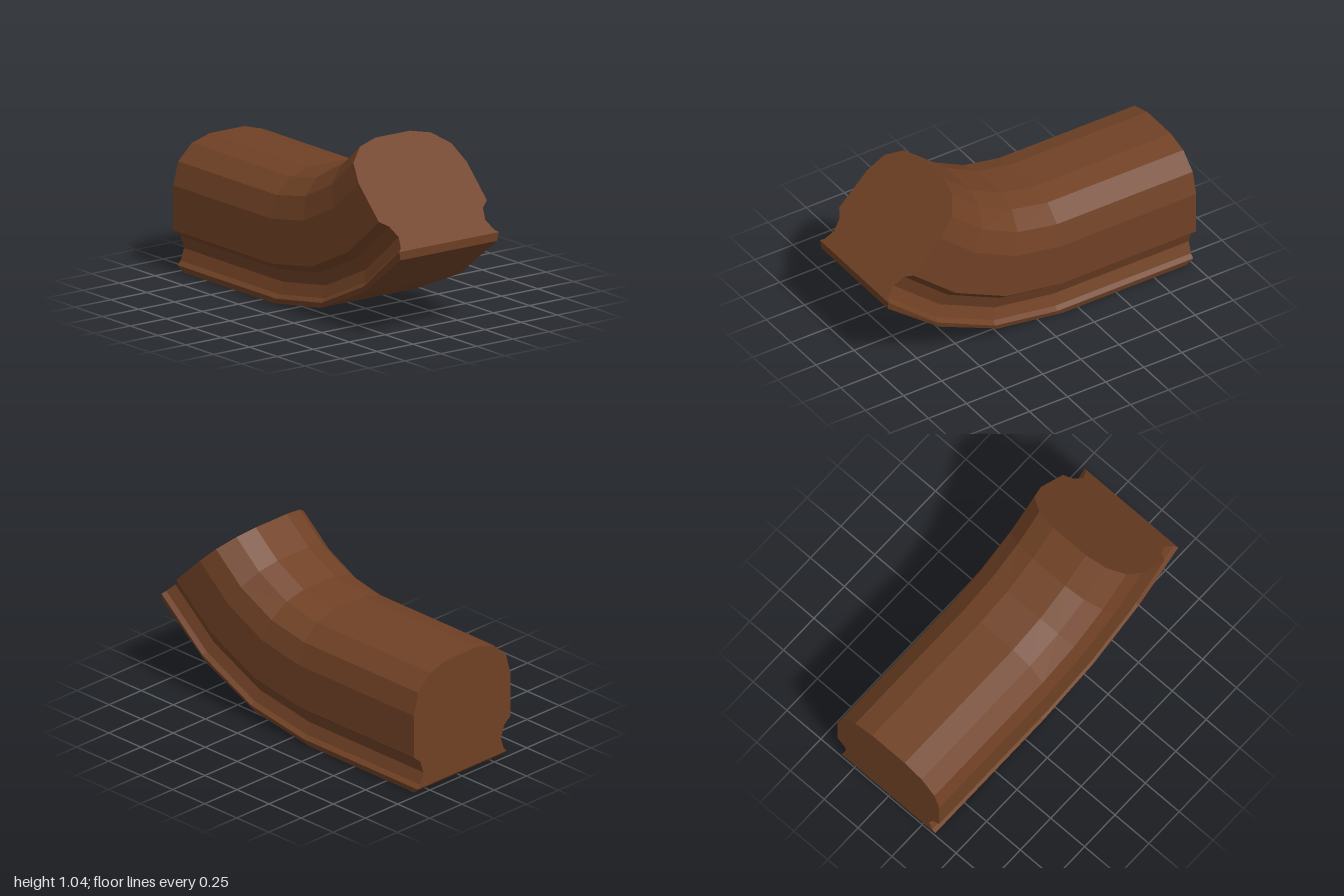
import * as THREE from 'three';

// Half cross-section from the lip up to the crown: [z, height above the base]
const half = [
  [0.345, 0.035], [0.323, 0.057], [0.3, 0.125], [0.325, 0.2], [0.375, 0.24],
  [0.375, 0.495], [0.34, 0.625], [0.245, 0.715], [0.12, 0.75],
];
const lipHeight = 0.035, fullHeight = 0.75, soleHalfWidth = 0.335;

// Stations along the bend: lip point, crown point and sole point, each [x, y]
const stations = [
  { lip: [-1, 0.035], crown: [-1, 0.75], sole: [-0.96, 0] },
  { lip: [-0.11, 0.035], crown: [-0.11, 0.75], sole: [-0.15, 0] },
  { lip: [0.3, 0.1], crown: [0.115, 0.795], sole: [0.27, 0.063] },
  { lip: [0.68, 0.275], crown: [0.32, 0.9], sole: [0.66, 0.232] },
  { lip: [1, 0.54], crown: [0.49, 1.045], sole: [0.996, 0.49] },
];

// One closed ring: sole and lip at +z, over the crown, down to the sole at -z
function ring({ lip, crown, sole }) {
  const side = half.map(([z, h]) => {
    const t = (h - lipHeight) / (fullHeight - lipHeight);
    return [lip[0] + (crown[0] - lip[0]) * t, lip[1] + (crown[1] - lip[1]) * t, z];
  });
  side.unshift([sole[0], sole[1], soleHalfWidth]);
  return [...side, ...side.map(([x, y, z]) => [x, y, -z]).reverse()];
}

function sweptBody() {
  const n = (half.length + 1) * 2;
  const last = (stations.length - 1) * n;
  const index = [];
  const quad = (a, b, c, d) => index.push(a, b, c, a, c, d);

  // Skin between neighbouring rings
  for (let s = 0; s < last; s += n) {
    for (let i = 0; i < n; i++) {
      const j = (i + 1) % n;
      quad(s + i, s + n + i, s + n + j, s + j);
    }
  }

  // Flat end caps above the sole
  const outline = [
    ...half.map(([z, h]) => new THREE.Vector2(z, h)),
    ...half.map(([z, h]) => new THREE.Vector2(-z, h)).reverse(),
  ];
  for (const [a, b, c] of THREE.ShapeUtils.triangulateShape(outline, [])) {
    index.push(a + 1, b + 1, c + 1);
    index.push(last + c + 1, last + b + 1, last + a + 1);
  }

  // Bevels from the end caps to the sole
  quad(n - 2, n - 1, 0, 1);
  quad(last + 1, last, last + n - 1, last + n - 2);

  const geometry = new THREE.BufferGeometry();
  geometry.setAttribute('position', new THREE.Float32BufferAttribute(stations.flatMap(ring).flat(), 3));
  geometry.setIndex(index);
  const flat = geometry.toNonIndexed();
  flat.computeVertexNormals();
  return flat;
}

export function createModel() {
  const group = new THREE.Group();
  group.name = 'curvedRail';
  const material = new THREE.MeshStandardMaterial({ color: 0x70411f, flatShading: true });
  material.color.set(0x704125);
  const rail = new THREE.Mesh(sweptBody(), material);
  rail.name = 'handrail';
  group.add(rail);
  return group;
}
